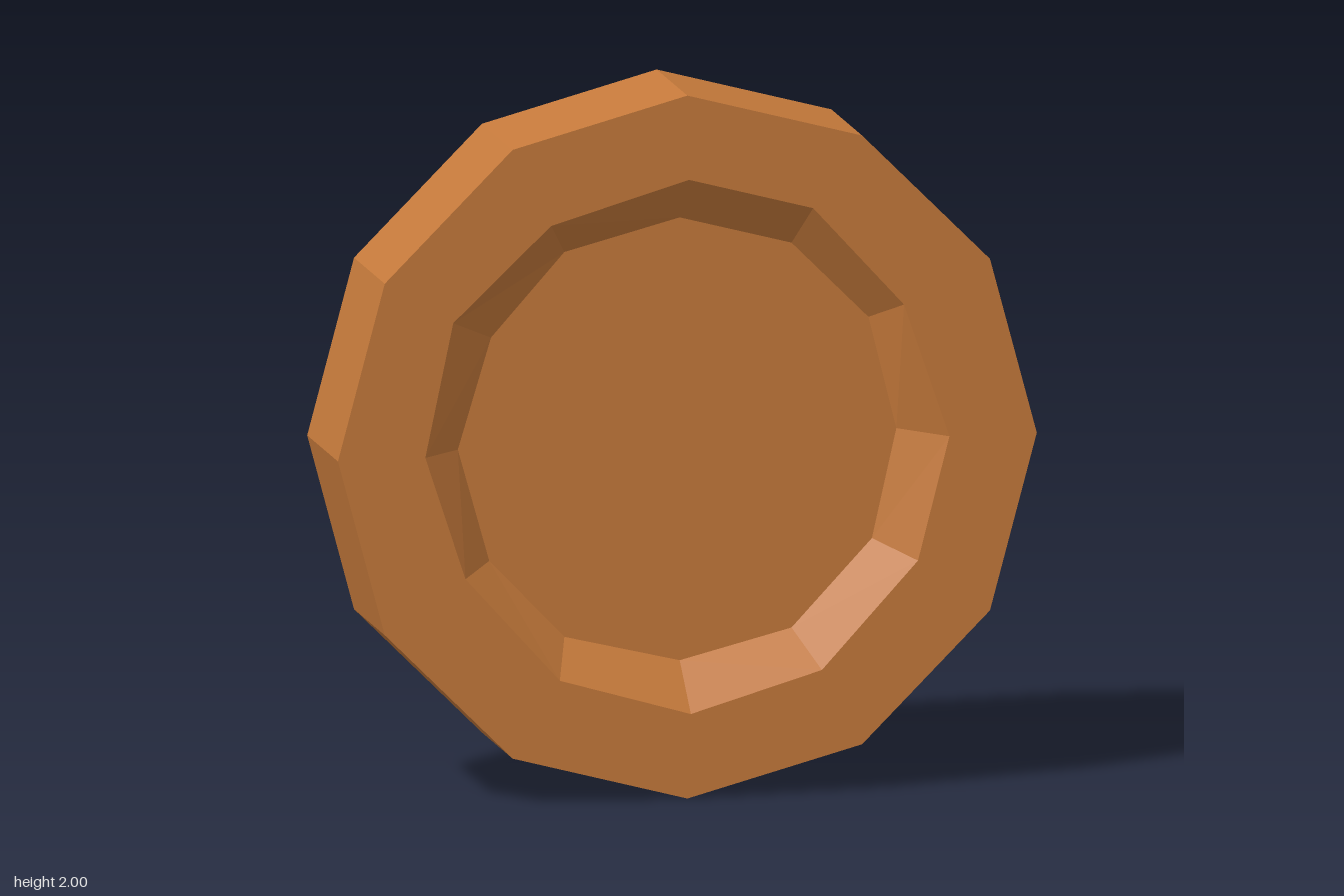
import * as THREE from 'three';

const SIDES = 12, HALF = 0.2, FLOOR = 0.1;

// Slightly uneven, hand-cut outlines, counter-clockwise from +x
const RIM = [[0.75, 0], [0.62, 0.38], [0.36, 0.665], [0.005, 0.76], [-0.39, 0.645], [-0.67, 0.38],
  [-0.75, 0], [-0.635, -0.35], [-0.365, -0.65], [0.01, -0.76], [0.385, -0.65], [0.66, -0.35]];
const BASE = [[0.62, 0.01], [0.54, 0.33], [0.32, 0.55], [0, 0.635], [-0.33, 0.55], [-0.54, 0.315],
  [-0.635, 0], [-0.545, -0.32], [-0.33, -0.545], [0, -0.625], [0.32, -0.545], [0.55, -0.3]];
const OUTER = Array.from({ length: SIDES }, (_, i) => {
  const a = (i / SIDES) * Math.PI * 2;
  return [Math.cos(a), Math.sin(a)];
});

const ring = (points, z) => points.map(([x, y]) => [x, y, z]);

// Joins two rings with quads
function band(a, b) {
  const out = [];
  for (let i = 0; i < SIDES; i++) {
    const j = (i + 1) % SIDES;
    out.push(...a[i], ...b[i], ...b[j], ...a[i], ...b[j], ...a[j]);
  }
  return out;
}

// Fills a ring with a fan that faces the given side (+1 front, -1 back)
function cap(r, side) {
  const out = [], centre = [0, 0, r[0][2]];
  for (let i = 0; i < SIDES; i++) {
    const j = (i + 1) % SIDES;
    out.push(...centre, ...(side > 0 ? r[i] : r[j]), ...(side > 0 ? r[j] : r[i]));
  }
  return out;
}

export function createModel() {
  const group = new THREE.Group();
  group.name = 'recessedDisc';
  const wood = new THREE.MeshStandardMaterial({ color: 0xc67a3b, flatShading: true });
  wood.name = 'warm brown';

  const add = (name, positions) => {
    const geometry = new THREE.BufferGeometry();
    geometry.setAttribute('position', new THREE.Float32BufferAttribute(positions, 3));
    geometry.computeVertexNormals();
    const mesh = new THREE.Mesh(geometry, wood);
    mesh.name = name;
    mesh.position.y = 1;
    group.add(mesh);
  };

  // Outer edge
  add('outerEdge', band(ring(OUTER, HALF), ring(OUTER, -HALF)));

  // Flat rim, sloped recess wall and recess floor on both faces
  for (const [label, side] of [['front', 1], ['back', -1]]) {
    const outer = ring(OUTER, side * HALF);
    const rim = ring(RIM, side * HALF);
    const base = ring(BASE, side * FLOOR);
    const join = (inside, outside) => (side > 0 ? band(inside, outside) : band(outside, inside));
    add(label + 'Rim', join(rim, outer));
    add(label + 'RecessWall', join(base, rim));
    add(label + 'RecessFloor', cap(base, side));
  }
  return group;
}
